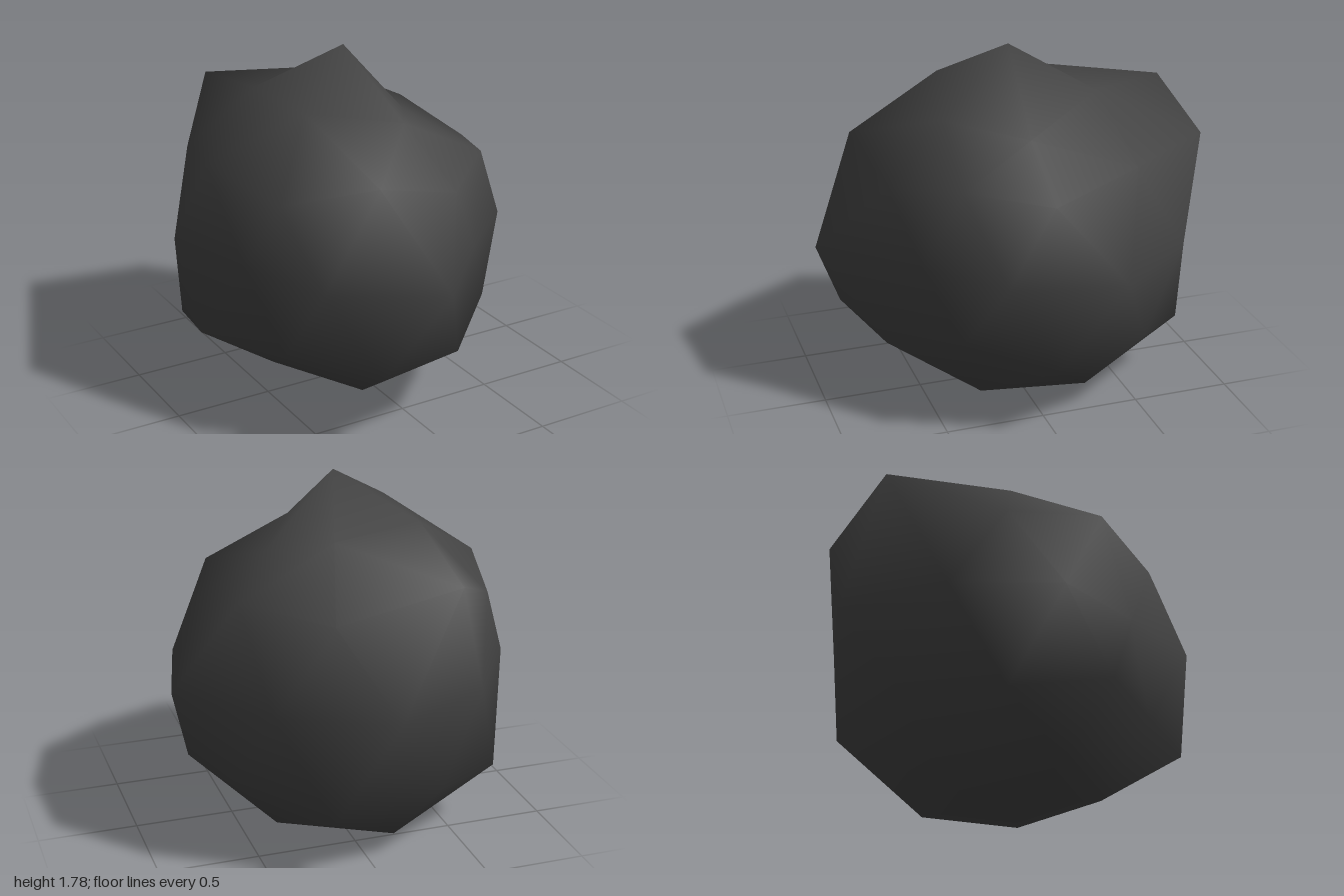
import * as THREE from 'three';
import { ConvexGeometry } from 'three/addons/geometries/ConvexGeometry.js';

// Rings of a ball with 42 corners: height, first angle (degrees), and the radius of each corner
const RINGS = [
  [1, 0, [0.945]],
  [0.8507, 0, [0.66, 0.74, 0.85, 0.84, 0.83]],
  [0.5257, 36, [0.8, 0.93, 0.882, 1.155, 0.89]],
  [0.4472, 0, [0.795, 0.8, 0.8, 0.88, 1.075]],
  [0, 18, [0.815, 0.7, 1, 0.865, 0.71, 0.857, 0.88, 1, 0.91, 0.957]],
  [-0.4472, 36, [0.795, 0.98, 0.905, 0.98, 0.92]],
  [-0.5257, 0, [0.905, 0.88, 0.81, 1, 1.03]],
  [-0.8507, 36, [0.87, 0.84, 0.79, 0.98, 0.92]],
  [-1, 0, [0.77]],
];
const CENTRE = new THREE.Vector3(-0.05, 0.835, 0);

function createRockGeometry() {
  const corners = [];
  for (const [y, start, radii] of RINGS) {
    const spread = Math.sqrt(1 - y * y);
    radii.forEach((radius, i) => {
      const a = THREE.MathUtils.degToRad(start + (i * 360) / radii.length);
      const dir = new THREE.Vector3(spread * Math.cos(a), y, spread * Math.sin(a));
      corners.push({ dir, radius });
    });
  }

  // Facet the even ball first, then push each corner in or out
  const geometry = new ConvexGeometry(corners.map((c) => c.dir));
  const position = geometry.attributes.position;
  const normal = geometry.attributes.normal;
  const v = new THREE.Vector3();
  for (let i = 0; i < position.count; i++) {
    v.fromBufferAttribute(position, i);
    const { dir, radius } = corners.reduce((best, c) =>
      c.dir.distanceToSquared(v) < best.dir.distanceToSquared(v) ? c : best);
    // Round shading of the ball is kept on the uneven surface
    normal.setXYZ(i, dir.x, dir.y, dir.z);
    v.copy(dir).multiplyScalar(radius).add(CENTRE);
    position.setXYZ(i, v.x, v.y, v.z);
  }
  return geometry;
}

export function createModel() {
  const group = new THREE.Group();
  group.name = 'rock';
  const darkStone = new THREE.MeshStandardMaterial({ color: 0x444444 });
  darkStone.name = 'dark stone';
  const boulder = new THREE.Mesh(createRockGeometry(), darkStone);
  boulder.name = 'boulder';
  group.add(boulder);
  return group;
}
